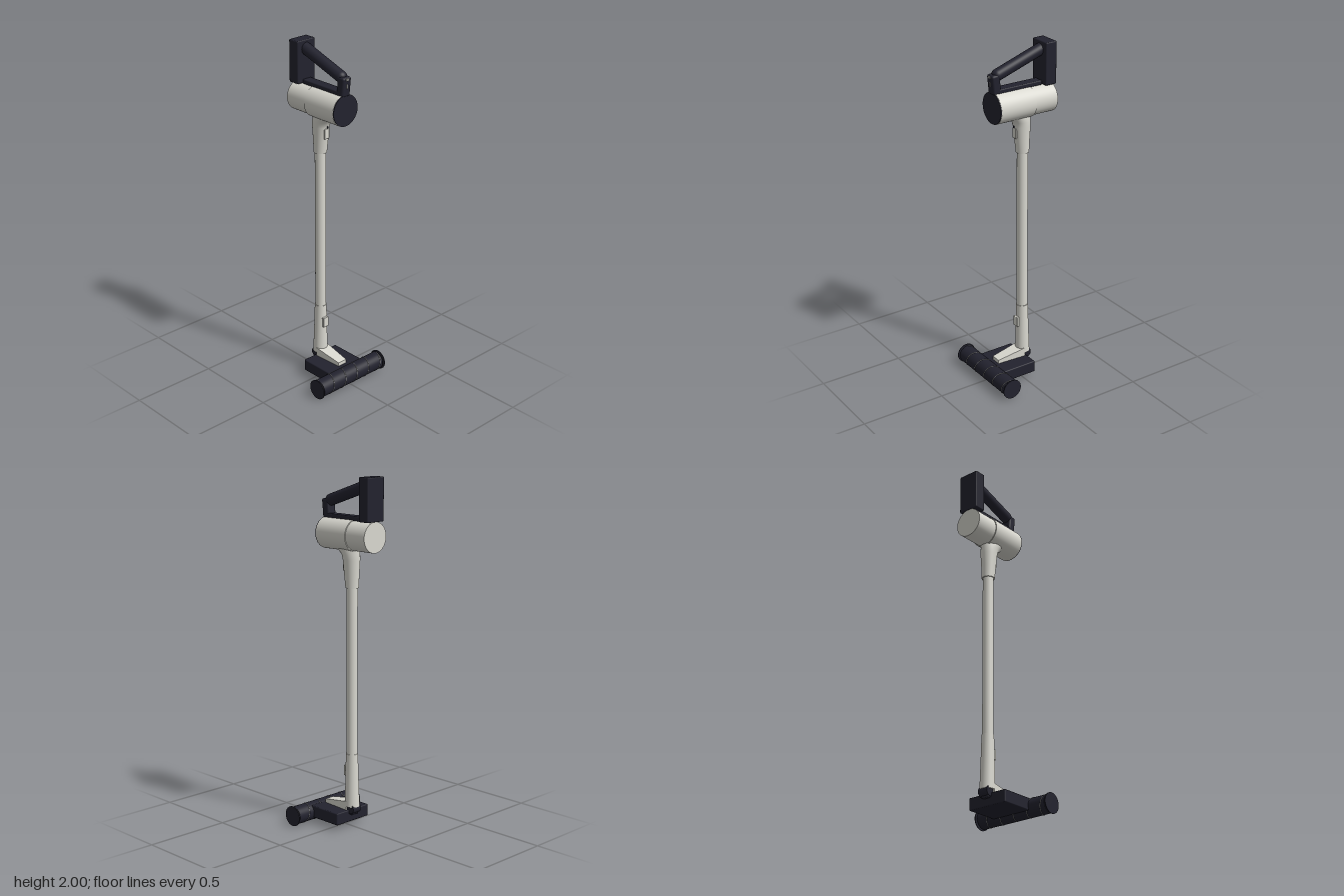
import * as THREE from 'three';
import { RoundedBoxGeometry } from 'three/addons/geometries/RoundedBoxGeometry.js';

const mat = (name, color) => new THREE.MeshStandardMaterial({ name, color });

export function createModel() {
  const cream = mat('warm white plastic', 0xd9d8d0);
  const dark = mat('dark navy plastic', 0x22222e);
  const grey = mat('grey trim', 0x8c8c8a);
  const model = new THREE.Group();

  const add = (name, geometry, material, x = 0, y = 0, z = 0) => {
    const mesh = new THREE.Mesh(geometry, material);
    mesh.name = name;
    mesh.position.set(x, y, z);
    model.add(mesh);
    return mesh;
  };
  const box = (name, m, w, h, d, x, y, z, r = 0.006) =>
    add(name, new RoundedBoxGeometry(w, h, d, 2, r), m, x, y, z);
  // Cylinder lying along x or z
  const rod = (name, m, r, length, axis, x, y, z) => {
    const g = new THREE.CylinderGeometry(r, r, length, 48);
    if (axis === 'x') g.rotateZ(Math.PI / 2);
    else g.rotateX(Math.PI / 2);
    return add(name, g, m, x, y, z);
  };
  // Upright loft through elliptical sections [y, centre z, radius x, radius z]
  const loft = (name, m, sections) => {
    const n = sections.length - 1;
    const g = new THREE.CylinderGeometry(1, 1, 1, 40, n);
    const p = g.attributes.position;
    for (let i = 0; i < p.count; i++) {
      const [y, z, rx, rz] = sections[Math.round((p.getY(i) + 0.5) * n)];
      p.setXYZ(i, p.getX(i) * rx, y, z + p.getZ(i) * rz);
    }
    g.computeVertexNormals();
    return add(name, g, m);
  };

  // Motor body: wide front half, slightly slimmer rear half, dark front cap
  const bodyY = 1.677;
  rod('frontBody', cream, 0.09, 0.226, 'z', 0, bodyY, 0.024);
  rod('rearBody', cream, 0.085, 0.145, 'z', 0, bodyY, -0.159);
  rod('frontCap', dark, 0.0885, 0.006, 'z', 0, bodyY, 0.139);

  // Handle: battery at the back, base rail, front post and sloping grip
  box('battery', dark, 0.126, 0.24, 0.07, 0, 1.88, -0.201);
  box('handleRail', dark, 0.06, 0.026, 0.29, 0, 1.771, -0.02);
  const post = box('handlePost', dark, 0.06, 0.11, 0.05, 0, 1.811, 0.126, 0.012);
  post.rotation.x = 0.1;
  const gripStart = new THREE.Vector3(0, 1.858, 0.105);
  const gripEnd = new THREE.Vector3(0, 1.958, -0.19);
  const gripDir = gripEnd.clone().sub(gripStart);
  const grip = add('grip', new THREE.CapsuleGeometry(0.033, gripDir.length(), 8, 32), dark);
  grip.position.copy(gripStart).add(gripEnd).multiplyScalar(0.5);
  grip.quaternion.setFromUnitVectors(new THREE.Vector3(0, 1, 0), gripDir.normalize());
  box('powerButton', grey, 0.022, 0.014, 0.008, 0, 1.852, 0.153, 0.003);
  box('modeButton', grey, 0.01, 0.026, 0.008, 0, 1.815, 0.15, 0.003);

  // Neck flaring forward under the body
  loft('neck', cream, [
    [1.385, -0.057, 0.037, 0.037], [1.46, -0.054, 0.041, 0.043], [1.54, -0.052, 0.046, 0.05],
    [1.57, -0.047, 0.048, 0.054], [1.59, -0.035, 0.049, 0.066], [1.605, -0.02, 0.05, 0.08],
  ]);
  box('neckLatch', cream, 0.034, 0.06, 0.012, 0, 1.505, -0.007, 0.004);
  box('neckLatchMark', dark, 0.008, 0.014, 0.004, 0, 1.543, 0.001, 0.001);

  // Long tube and lower socket with release button
  add('tube', new THREE.CylinderGeometry(0.031, 0.031, 1.02, 40), cream, 0, 0.91, -0.057);
  loft('lowerSocket', cream, [
    [0.125, -0.06, 0.042, 0.042], [0.28, -0.058, 0.038, 0.038], [0.435, -0.057, 0.034, 0.034],
  ]);
  box('releaseButton', cream, 0.038, 0.062, 0.016, 0, 0.33, -0.018, 0.004);

  // Swivel joint behind the foot
  rod('swivelJoint', dark, 0.029, 0.062, 'x', 0, 0.113, -0.071);
  box('jointBracket', dark, 0.05, 0.05, 0.045, 0, 0.102, -0.062);

  // Floor head housing with the tapered arm lying on it
  box('headHousing', dark, 0.25, 0.07, 0.215, 0, 0.07, 0.043);
  const arm = new THREE.BoxGeometry(1, 1, 1);
  const ap = arm.attributes.position;
  for (let i = 0; i < ap.count; i++) {
    const front = ap.getZ(i) > 0, top = ap.getY(i) > 0;
    ap.setXYZ(i, Math.sign(ap.getX(i)) * (front ? 0.03 : 0.042),
      top ? (front ? 0.127 : 0.157) : 0.1, front ? 0.128 : -0.05);
  }
  arm.computeVertexNormals();
  add('headArm', arm, cream);

  // Roller brush with spiral trim and thin end discs
  const ry = 0.061, rz = 0.177;
  rod('roller', dark, 0.052, 0.466, 'x', 0, ry, rz);
  rod('rollerAxle', dark, 0.012, 0.484, 'x', 0, ry, rz);
  const spiral = [];
  for (let i = 0; i <= 120; i++) {
    const t = i / 120, a = t * Math.PI * 10;
    spiral.push(new THREE.Vector3(-0.231 + 0.462 * t, Math.cos(a) * 0.052, -Math.sin(a) * 0.052));
  }
  add('rollerSpiral', new THREE.TubeGeometry(new THREE.CatmullRomCurve3(spiral), 300, 0.002, 6),
    grey, 0, ry, rz);
  for (const side of [-1, 1])
    rod(side > 0 ? 'leftEndDisc' : 'rightEndDisc', dark, 0.058, 0.005, 'x', side * 0.243, ry, rz);

  return model;
}
